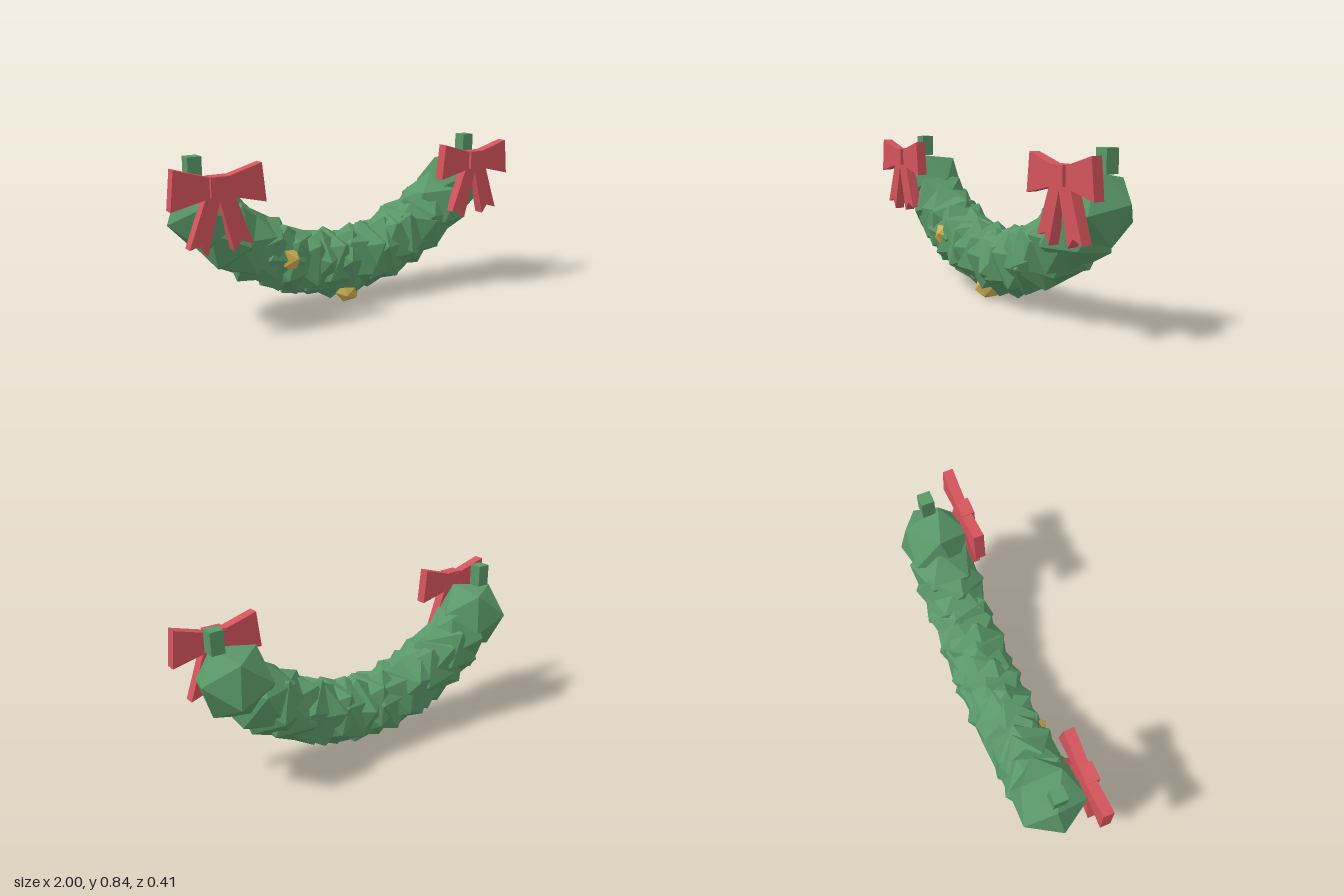
import * as THREE from 'three';

const mat = (name, color) => {
  const m = new THREE.MeshStandardMaterial({ color });
  m.name = name;
  return m;
};

// Frame whose y axis is dir a, with x towards dir b
function frame(a, b) {
  const y = a.clone().normalize();
  const z = new THREE.Vector3().crossVectors(b, y).normalize();
  const x = new THREE.Vector3().crossVectors(y, z);
  return new THREE.Matrix4().makeBasis(x, y, z);
}

export function createModel() {
  const group = new THREE.Group();
  const green = mat('pineGreen', 0x5a9868);
  const red = mat('ribbonRed', 0xd4545c);
  const gold = mat('ornamentGold', 0xd0b052);

  const add = (parent, name, geometry, material, x, y, z) => {
    const mesh = new THREE.Mesh(geometry, material);
    mesh.name = name;
    mesh.position.set(x, y, z);
    parent.add(mesh);
    return mesh;
  };

  let seed = 11;
  const rand = () => (seed = (seed * 16807) % 2147483647) / 2147483647;

  // Sagging garland of overlapping, tumbled foliage clumps
  const sag = (x) => 0.21 + 0.59 * x * x;
  const clump = new THREE.IcosahedronGeometry(0.195, 0);
  const count = 17;
  for (let i = 0; i < count; i++) {
    const x = -0.64 + (1.28 * i) / (count - 1);
    const c = add(group, 'foliageClump', clump, green, x, sag(x), -0.015);
    c.rotation.set(rand() * 6.28, rand() * 6.28, rand() * 6.28);
  }

  // End clumps, turned so that one corner points outwards
  const t = (1 + Math.sqrt(5)) / 2;
  const source = frame(new THREE.Vector3(0, 1, t), new THREE.Vector3(0, -1, t)).invert();
  const endClump = (x, corner, next) => {
    const c = add(group, 'endClump', new THREE.IcosahedronGeometry(0.2, 0), green, x, 0.565, -0.015);
    c.setRotationFromMatrix(frame(corner, next).multiply(source));
  };
  endClump(0.765, new THREE.Vector3(0.185, 0.035, -0.045), new THREE.Vector3(0.12, -0.17, 0.005));
  endClump(-0.755, new THREE.Vector3(-0.185, -0.035, 0.005), new THREE.Vector3(-0.1, 0.02, -0.175));

  // Hanging tabs above the ends
  for (const x of [-0.815, 0.85])
    add(group, 'hangingTab', new THREE.BoxGeometry(0.07, 0.115, 0.07), green, x, 0.788, -0.01);

  // Gold ornaments
  const ball = new THREE.IcosahedronGeometry(0.072, 0);
  add(group, 'ornament', ball, gold, 0, 0.072, 0.06).rotation.set(0.15, 0.5, 0.2);
  add(group, 'ornament', ball, gold, -0.37, 0.305, 0.1).rotation.set(0.4, 0.3, 0);

  // Ribbon bows, cut from flat outlines
  const plate = (points) => new THREE.ExtrudeGeometry(
    new THREE.Shape(points.map((p) => new THREE.Vector2(...p))),
    { depth: 0.055, bevelEnabled: false });
  const loops = plate([
    [-0.235, -0.095], [0, -0.04], [0.235, -0.095],
    [0.215, 0.093], [0, 0.03], [-0.215, 0.093],
  ]);
  const leftTail = plate([
    [-0.06, -0.03], [-0.155, -0.28], [-0.098, -0.262], [-0.067, -0.318], [0.01, -0.03],
  ]);
  const rightTail = plate([
    [-0.01, -0.03], [0.065, -0.312], [0.1, -0.267], [0.162, -0.288], [0.07, -0.03],
  ]);
  const knot = new THREE.BoxGeometry(0.095, 0.095, 0.07);
  for (const x of [-0.765, 0.765]) {
    const bow = new THREE.Group();
    bow.name = 'bow';
    add(bow, 'bowLoops', loops, red, 0, 0, 0);
    add(bow, 'bowTail', leftTail, red, 0, 0, -0.0005);
    add(bow, 'bowTail', rightTail, red, 0, 0, -0.001);
    add(bow, 'bowKnot', knot, red, 0, 0, 0.037);
    bow.position.set(x, 0.728, 0.136);
    group.add(bow);
  }
  for (const m of [green, red, gold]) m.side = THREE.FrontSide;
  return group;
}
